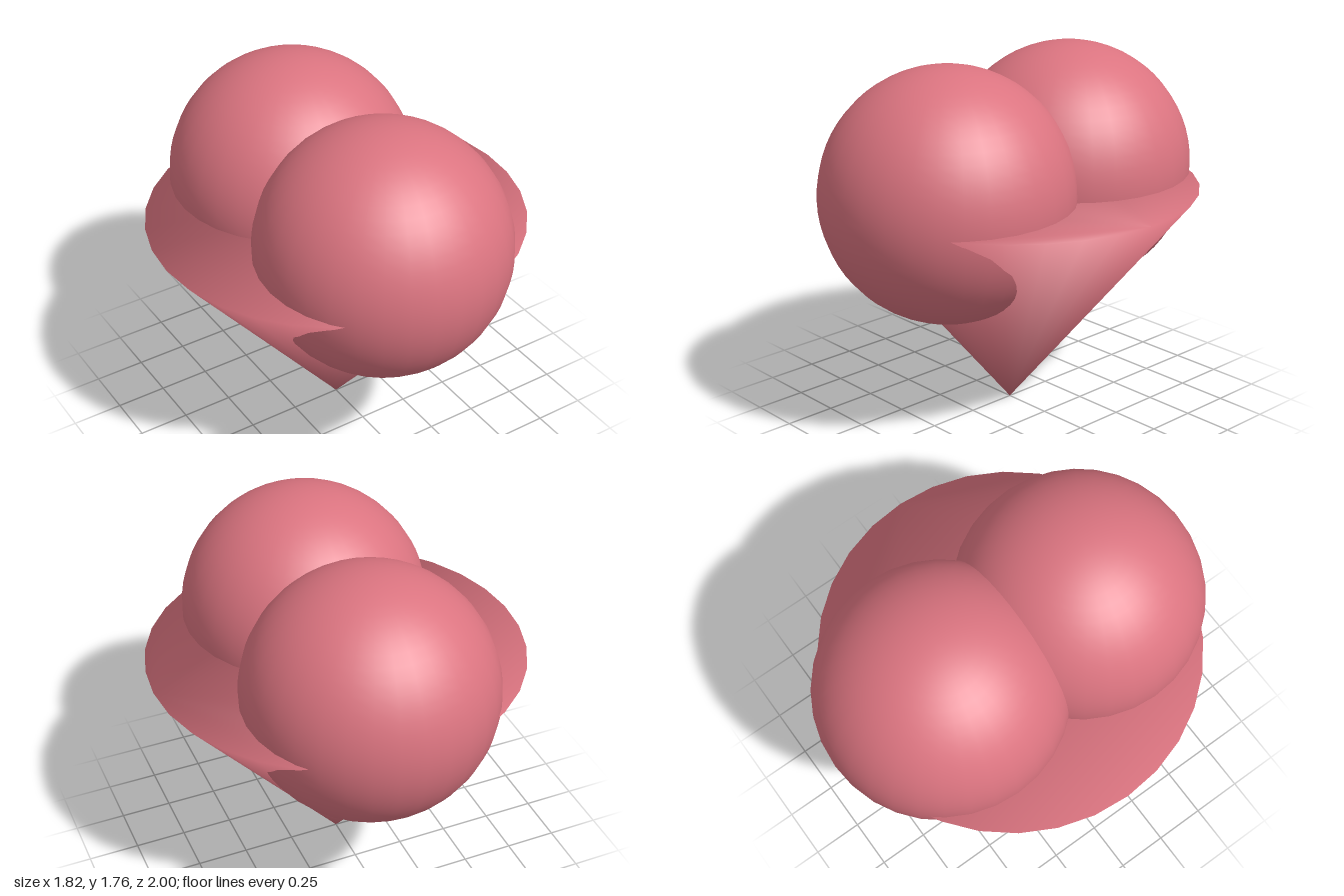
import * as THREE from 'three';

const SIDES = 32, RADIUS = 0.91, HEIGHT = 1.13;

// Capped cone standing on its tip; normals run smoothly over the rim and tip
function smoothCone() {
  const positions = [0, 0, 0], normals = [0, -1, 0], index = [];
  for (let i = 0; i < SIDES; i++) {
    const a = (i / SIDES) * Math.PI * 2, c = Math.cos(a), s = Math.sin(a);
    positions.push(RADIUS * c, HEIGHT, RADIUS * s);
    normals.push(0.91 * c, 0.41, 0.91 * s);
    const here = i + 1, next = ((i + 1) % SIDES) + 1;
    index.push(0, here, next); // side
    if (i > 0 && i < SIDES - 1) index.push(1, next, here); // flat top
  }
  const g = new THREE.BufferGeometry();
  g.setAttribute('position', new THREE.Float32BufferAttribute(positions, 3));
  g.setAttribute('normal', new THREE.Float32BufferAttribute(normals, 3));
  g.setIndex(index);
  return g;
}

export function createModel() {
  const group = new THREE.Group();
  group.name = 'heart';
  const rose = new THREE.MeshStandardMaterial({ color: 0xdb7480 });
  rose.name = 'rose';

  // Pointed lower part
  const cone = new THREE.Mesh(smoothCone(), rose);
  cone.name = 'point';
  group.add(cone);

  // Two round lobes, front and back
  const ball = new THREE.SphereGeometry(0.605, SIDES, 32);
  for (const side of [1, -1]) {
    const lobe = new THREE.Mesh(ball, rose);
    lobe.name = side > 0 ? 'frontLobe' : 'backLobe';
    lobe.position.set(0, 1.155, side * 0.395);
    group.add(lobe);
  }
  return group;
}
